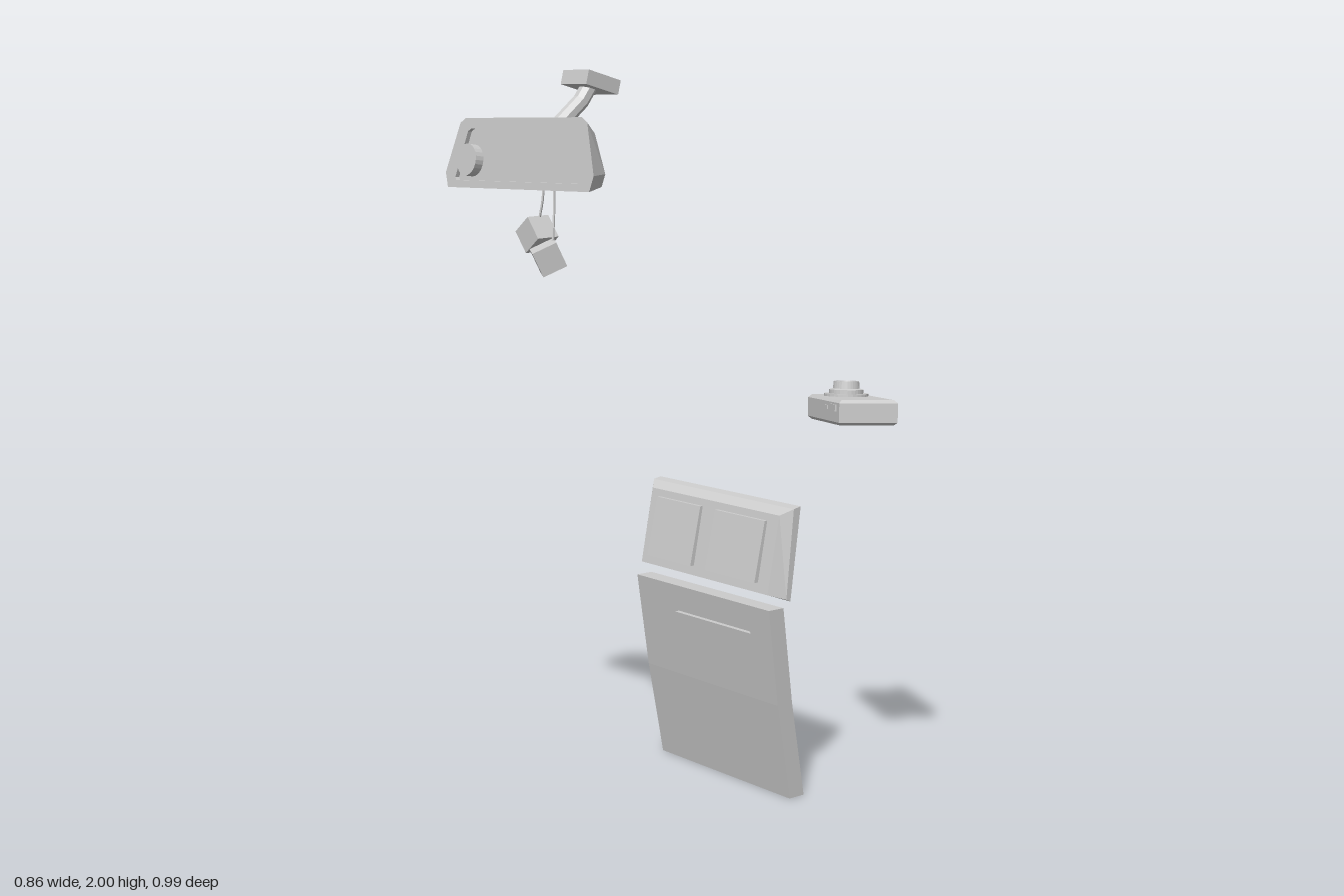
import * as THREE from 'three';

const material = new THREE.MeshStandardMaterial({ color: 0xcccccc, flatShading: true });

function add(parent, name, geometry, x = 0, y = 0, z = 0) {
  const mesh = new THREE.Mesh(geometry, material);
  mesh.name = name;
  mesh.position.set(x, y, z);
  parent.add(mesh);
  return mesh;
}

// Closed solid through convex rings, ordered back to front, counter-clockwise from +z
function loft(rings) {
  const n = rings[0].length, index = [];
  for (let i = 0; i < rings.length - 1; i++) {
    for (let j = 0; j < n; j++) {
      const a = i * n + j, b = i * n + (j + 1) % n;
      index.push(a, b, b + n, a, b + n, a + n);
    }
  }
  const last = (rings.length - 1) * n;
  for (let j = 1; j < n - 1; j++) index.push(0, j + 1, j, last, last + j, last + j + 1);
  const g = new THREE.BufferGeometry();
  g.setAttribute('position', new THREE.Float32BufferAttribute(rings.flat(2), 3));
  g.setIndex(index);
  const flat = g.toNonIndexed();
  flat.computeVertexNormals();
  return flat;
}

// Rectangle ring whose depth may differ between bottom and top
const rect = (x0, x1, y0, y1, zBottom, zTop = zBottom) =>
  [[x0, y0, zBottom], [x1, y0, zBottom], [x1, y1, zTop], [x0, y1, zTop]];

function buildMirror() {
  const g = new THREE.Group();
  g.name = 'rearViewMirror';
  const frontZ = (x, y) => 0.465 - 0.05 * x - 0.12 * (y - 1.7);
  const outer = [[-0.415, 1.693], [0.178, 1.693], [0.19, 1.732], [0.147, 1.862],
    [0.125, 1.875], [-0.36, 1.875], [-0.382, 1.862], [-0.43, 1.732]];
  const inner = [[-0.38, 1.712], [0.14, 1.712], [0.155, 1.72], [0.112, 1.84],
    [0.1, 1.848], [-0.33, 1.848], [-0.345, 1.84], [-0.385, 1.72]];
  const back = [[-0.375, 1.703], [0.125, 1.703], [0.14, 1.735], [0.1, 1.835],
    [0.08, 1.845], [-0.33, 1.845], [-0.35, 1.835], [-0.39, 1.735]];
  const place = (pts, offset) => pts.map(([x, y]) => [x, y, frontZ(x, y) + offset]);
  add(g, 'mirrorHousing', loft([
    back.map(([x, y]) => [x, y, 0.384 - 0.042 * x]),
    place(outer, 0), place(inner, 0), place(inner, -0.012),
  ]));

  const disc = add(g, 'roundSticker',
    new THREE.CylinderGeometry(0.042, 0.042, 0.03, 24).rotateX(Math.PI / 2), -0.325, 1.765, 0.471);
  disc.rotation.set(-0.12, 0.05, 0);

  // Bent octagonal arm and its roof block
  const armRing = ([y, z, tilt]) => Array.from({ length: 8 }, (_, i) => {
    const a = (i + 0.5) * Math.PI / 4, r = 0.022;
    return [-0.117 + r * Math.cos(a), y + r * Math.sin(a) * Math.cos(tilt), z + r * Math.sin(a) * Math.sin(tilt)];
  });
  add(g, 'mirrorArm', loft([[1.96, 0.233, 1.0], [1.918, 0.263, 0.85], [1.8, 0.4, 0.72]].map(armRing)));
  const mount = add(g, 'roofMount', new THREE.BoxGeometry(0.107, 0.038, 0.11), -0.12, 1.967, 0.228);
  mount.rotation.set(-0.24, 0.04, 0);
  return g;
}

function buildDice() {
  const g = new THREE.Group();
  g.name = 'hangingDice';
  const path = [[-0.15, 1.6, 0.38], [-0.135, 1.68, 0.374], [-0.143, 1.8, 0.374], [-0.117, 1.851, 0.372],
    [-0.091, 1.8, 0.374], [-0.085, 1.68, 0.374], [-0.08, 1.54, 0.385]];
  const curve = new THREE.CatmullRomCurve3(path.map(p => new THREE.Vector3(...p)));
  add(g, 'diceString', new THREE.TubeGeometry(curve, 28, 0.0035, 5));
  const cube = new THREE.BoxGeometry(0.068, 0.068, 0.068);
  add(g, 'upperDie', cube, -0.153, 1.575, 0.382).rotation.set(0.05, 0.05, 0.62);
  add(g, 'lowerDie', cube, -0.085, 1.517, 0.395).rotation.set(0.5, -0.5, 0.12);
  return g;
}

function buildCamera() {
  const g = new THREE.Group();
  g.name = 'camera';
  const w = 0.143, d = 0.082, h = 0.034, c = 0.008;
  const ring = (inset, z) => rect(-w + inset, w - inset, -d + inset, d - inset, z);
  add(g, 'cameraBody', loft([ring(c, -h), ring(0, -h + c), ring(0, h - c), ring(c, h)]).rotateX(-Math.PI / 2));
  const profile = [[0.061, 0], [0.061, 0.008], [0.047, 0.008], [0.047, 0.019], [0.037, 0.022],
    [0.035, 0.042], [0.028, 0.042], [0.026, 0.034], [0, 0.034]];
  add(g, 'lens', new THREE.LatheGeometry(profile.map(p => new THREE.Vector2(...p)), 28), -0.06, h - 0.001, -0.002);
  add(g, 'sidePanel', new THREE.BoxGeometry(0.06, 0.018, 0.01), 0.09, 0.012, d);
  add(g, 'sideButton', new THREE.BoxGeometry(0.025, 0.01, 0.008), 0.035, 0.01, d);
  g.position.set(0.268, 1.09, -0.362);
  g.rotation.set(-0.06, -0.455, 0.05, 'ZXY');
  return g;
}

function buildUpperPanel() {
  const g = new THREE.Group();
  g.name = 'upperPanel';
  add(g, 'panelFrame', loft([
    rect(-0.385, 0.225, 0.573, 0.833, -0.18, -0.215),
    rect(-0.385, 0.225, 0.58, 0.828, -0.165, -0.19),
    rect(-0.353, 0.2, 0.595, 0.81, -0.118, -0.16),
  ]));
  // Two raised pads on the sloping face
  for (const [x0, x1] of [[-0.315, -0.12], [-0.055, 0.155]]) {
    add(g, 'raisedPad', loft([
      rect(x0, x1, 0.622, 0.79, -0.14, -0.175), rect(x0, x1, 0.622, 0.79, -0.11, -0.147),
    ]));
  }
  return g;
}

function buildLowerPanel() {
  const g = new THREE.Group();
  g.name = 'lowerPanel';
  const bend = 0.28;
  const right = y => 0.2 + 0.015 * y / 0.555;
  const frontZ = y => (y > bend ? -0.152 + (y - bend) * 0.15 : -0.152 - (bend - y) * 0.193);
  // Slab cut in the front plane, then leaned to follow the bent profile
  function slab(y0, y1, depth, thickness, hole) {
    const shape = new THREE.Shape([[-0.365, y0], [right(y0), y0], [right(y1), y1], [-0.365, y1]]
      .map(p => new THREE.Vector2(...p)));
    if (hole) shape.holes.push(new THREE.Path(hole.map(p => new THREE.Vector2(...p))));
    const geo = new THREE.ExtrudeGeometry(shape, { depth: thickness, bevelEnabled: false });
    const p = geo.attributes.position;
    for (let i = 0; i < p.count; i++) p.setZ(i, p.getZ(i) - depth - thickness + frontZ(p.getY(i)));
    geo.computeVertexNormals();
    return geo;
  }
  const slot = [[-0.205, 0.472], [-0.205, 0.54], [0.125, 0.54], [0.125, 0.472]];
  add(g, 'upperFrontWithSlot', slab(bend, 0.555, 0, 0.015, slot));
  add(g, 'upperBack', slab(bend, 0.555, 0.015, 0.038));
  add(g, 'lowerHalf', slab(0, bend, 0, 0.053));
  return g;
}

export function createModel() {
  const model = new THREE.Group();
  model.name = 'carInteriorAccessories';
  model.add(buildMirror(), buildDice(), buildCamera(), buildUpperPanel(), buildLowerPanel());
  return model;
}
